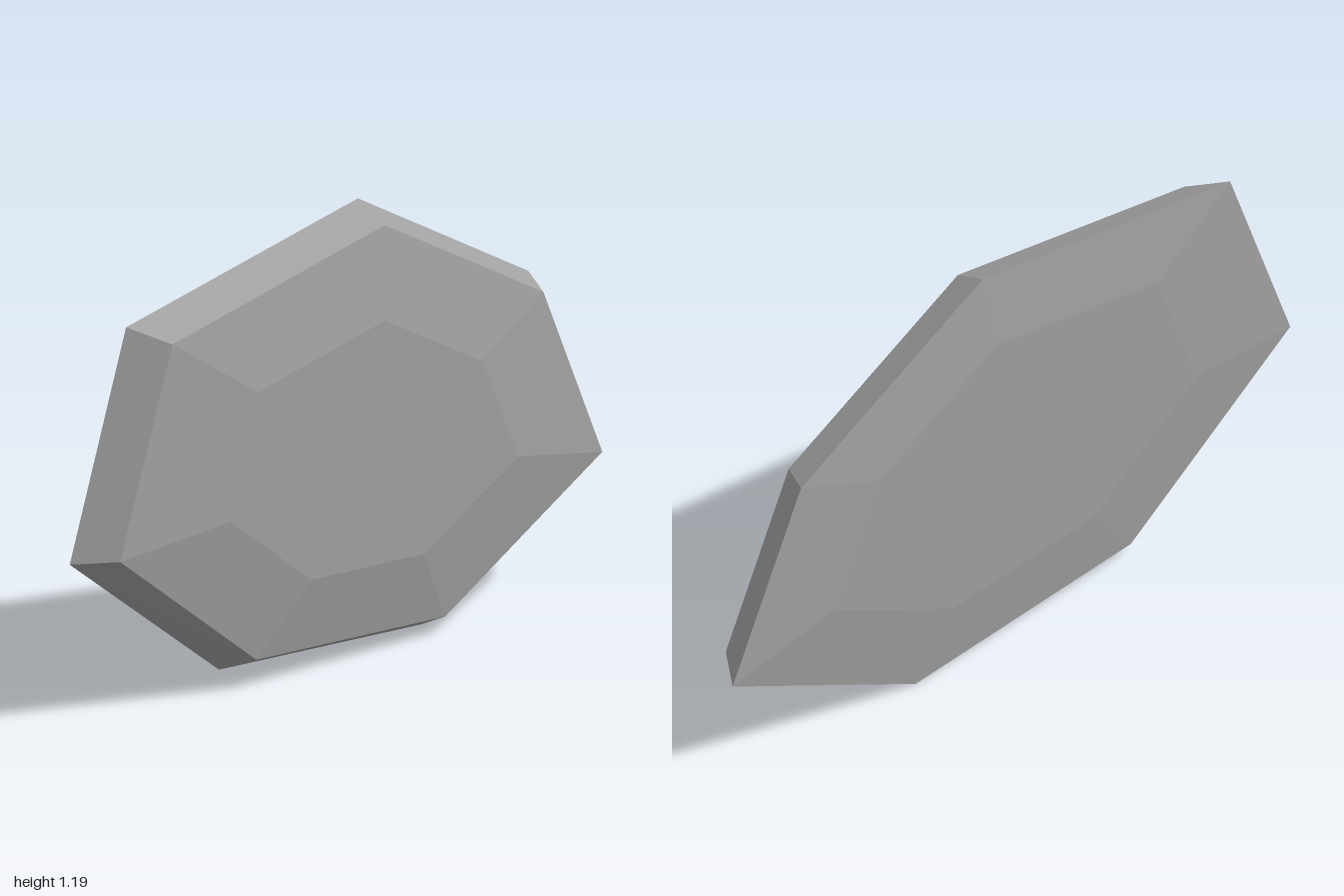
import * as THREE from 'three';

// Seven-sided outlines, counter-clockwise seen from the front
const girdle = [[-1, 0.44], [-0.43, 0.04], [0.34, 0], [0.995, 0.345], [0.75, 0.86], [0.1, 1.19], [-0.785, 1.03]];
const rim = [[-0.92, 0.45], [-0.4, 0.08], [0.32, 0.045], [0.92, 0.36], [0.695, 0.835], [0.09, 1.14], [-0.72, 0.99]];
const crown = [[-0.54, 0.485], [-0.23, 0.265], [0.2, 0.245], [0.56, 0.43], [0.42, 0.715], [0.05, 0.9], [-0.435, 0.81]];

const ring = (points, z) => points.map(([x, y]) => new THREE.Vector3(x, y, z));

// Shrinks an outline towards its middle
const inset = (points, s, cx, cy) => points.map(([x, y]) => [cx + (x - cx) * s, cy + (y - cy) * s]);

// Flat-faced geometry from a list of triangles
function facets(triangles) {
  const geometry = new THREE.BufferGeometry().setFromPoints(triangles.flat());
  geometry.computeVertexNormals();
  return geometry;
}

// Band of facets joining a back ring to the ring in front of it
function band(back, front) {
  return facets(back.flatMap((a, i) => {
    const j = (i + 1) % back.length;
    return [[a, back[j], front[j]], [a, front[j], front[i]]];
  }));
}

// Flat cap over a ring
function cap(points, facesFront) {
  return facets(points.slice(2).map((p, i) => (
    facesFront ? [points[0], points[i + 1], p] : [points[0], p, points[i + 1]]
  )));
}

export function createModel() {
  const group = new THREE.Group();
  group.name = 'flatStone';
  const stone = new THREE.MeshStandardMaterial({ color: 0xa0a0a0, flatShading: true });
  stone.name = 'stone grey';

  const backRing = ring(inset(girdle, 0.65, 0.01, 0.555), -0.08);
  const girdleRing = ring(girdle, -0.06);
  const rimRing = ring(rim, 0.043);
  const crownRing = ring(crown, 0.08);

  const parts = {
    backFace: cap(backRing, false),
    backBevel: band(backRing, girdleRing),
    sideFacets: band(girdleRing, rimRing),
    frontBevel: band(rimRing, crownRing),
    frontFace: cap(crownRing, true),
  };
  for (const [name, geometry] of Object.entries(parts)) {
    const mesh = new THREE.Mesh(geometry, stone);
    mesh.name = name;
    group.add(mesh);
  }
  return group;
}
